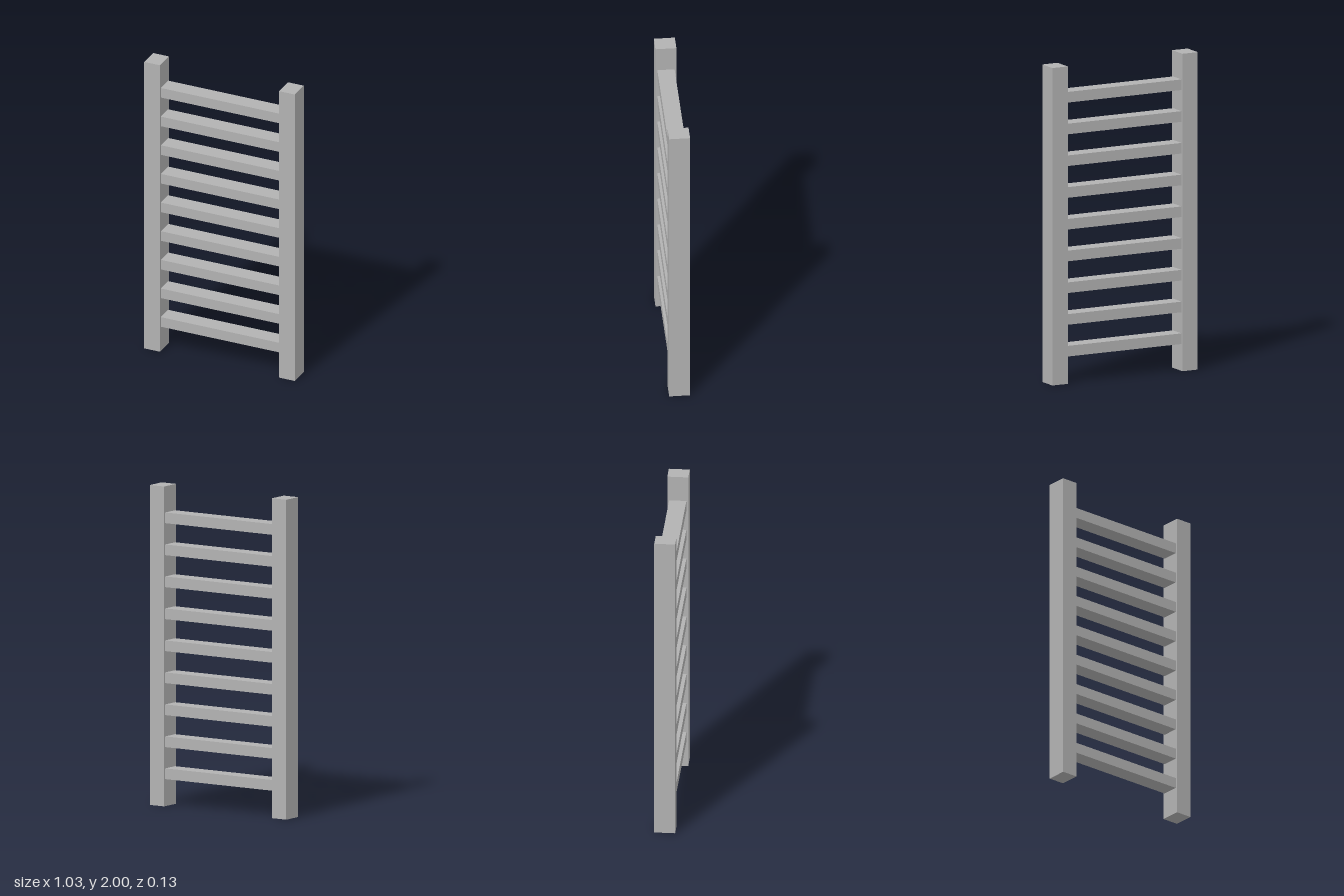
import * as THREE from 'three';

export function createModel() {
  const model = new THREE.Group();
  model.name = 'ladder';
  const grey = new THREE.MeshStandardMaterial({ color: 0xb2b2b2 });
  grey.name = 'grey';

  const addBox = (name, w, h, d, x, y) => {
    const mesh = new THREE.Mesh(new THREE.BoxGeometry(w, h, d), grey);
    mesh.name = name;
    mesh.position.set(x, y, 0);
    model.add(mesh);
  };

  // Two upright side rails
  addBox('leftRail', 0.108, 2, 0.13, 0.459, 1);
  addBox('rightRail', 0.108, 2, 0.13, -0.459, 1);

  // Nine evenly spaced rungs, butting against the rails
  for (let i = 0; i < 9; i++) {
    addBox(`rung${i + 1}`, 0.812, 0.067, 0.107, 0, 0.203 + i * 0.2);
  }
  return model;
}
